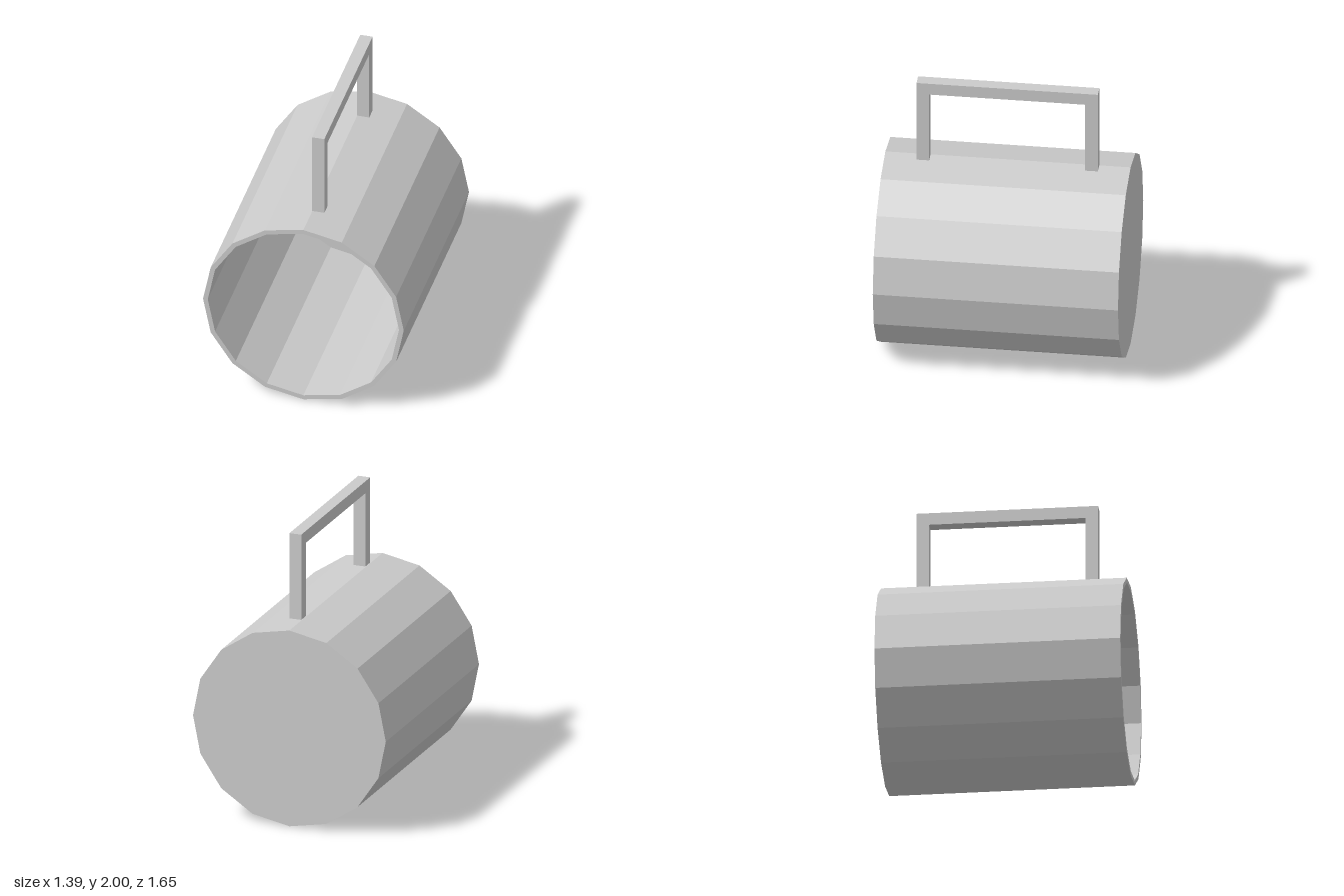
import * as THREE from 'three';

export function createModel() {
  const group = new THREE.Group();
  const material = new THREE.MeshStandardMaterial({ color: 0xcccccc, flatShading: true });
  const add = (name, geometry) => {
    const mesh = new THREE.Mesh(geometry, material);
    mesh.name = name;
    group.add(mesh);
  };

  // Hollow 16-sided cup lying on its side, closed at the back, open to the front
  const R = 0.695, inner = 0.662, half = 0.825, floor = -half + 0.033;
  const profile = [
    [0, -half], [R, -half], [R, half], [inner, half], [inner, floor], [0, floor],
  ].map(([x, y]) => new THREE.Vector2(x, y));
  const cup = new THREE.LatheGeometry(profile, 16);
  cup.rotateX(Math.PI / 2);
  cup.translate(0, R, 0);
  add('cup', cup);

  // Square-section handle: an upside-down U standing along the top, just to the left of centre
  const t = 0.085, front = 0.605, back = -0.615, base = 1.395, top = 2;
  const outline = new THREE.Shape([
    [back, base], [back + t, base], [back + t, top - t], [front - t, top - t],
    [front - t, base], [front, base], [front, top], [back, top],
  ].map(([z, y]) => new THREE.Vector2(z, y)));
  const handle = new THREE.ExtrudeGeometry(outline, { depth: t, bevelEnabled: false });
  handle.rotateY(-Math.PI / 2);
  handle.translate(t, 0, 0);
  add('handle', handle);

  return group;
}
